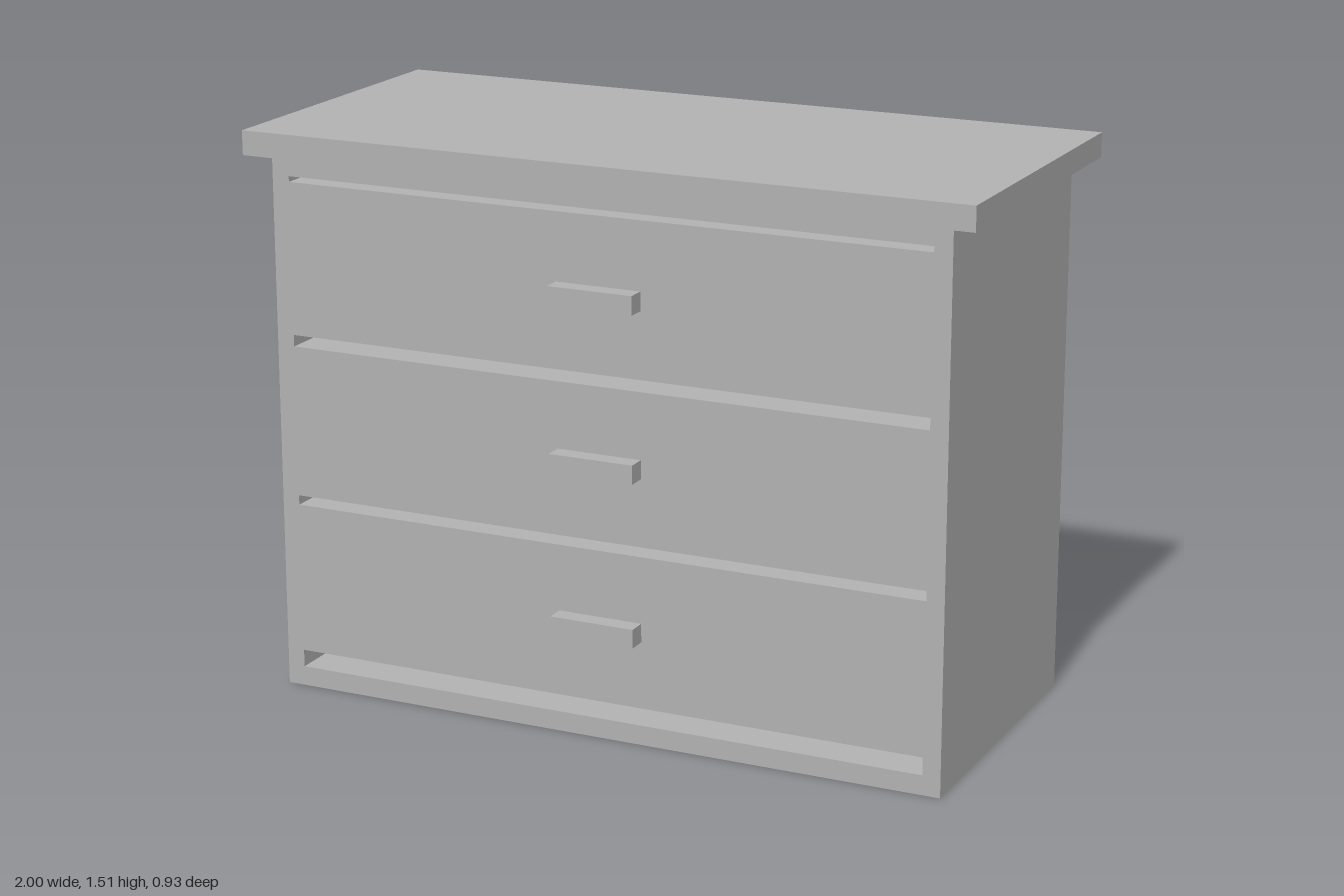
import * as THREE from 'three';

export function createModel() {
  const group = new THREE.Group();
  const grey = new THREE.MeshStandardMaterial({ color: 0xb2b2b2 });
  grey.name = 'grey';

  const add = (name, geometry, x, y, z) => {
    const mesh = new THREE.Mesh(geometry, grey);
    mesh.name = name;
    mesh.position.set(x, y, z);
    group.add(mesh);
  };
  const rectangle = (path, halfWidth, y0, y1) => {
    path.moveTo(-halfWidth, y0);
    path.lineTo(halfWidth, y0);
    path.lineTo(halfWidth, y1);
    path.lineTo(-halfWidth, y1);
    path.closePath();
    return path;
  };

  const back = -0.435, front = 0.417, panel = 0.05, bodyTop = 1.445;

  // Cabinet body with the deep gaps above, between and below the drawers
  const outline = rectangle(new THREE.Shape(), 0.933, 0, bodyTop);
  for (const [y0, y1] of [[0.053, 0.1], [0.508, 0.534], [0.941, 0.972], [1.379, 1.394]]) {
    outline.holes.push(rectangle(new THREE.Path(), 0.885, y0, y1));
  }
  const body = new THREE.ExtrudeGeometry(outline, { depth: front - back - panel, bevelEnabled: false });
  add('cabinetBody', body, 0, 0, back + panel);

  // Back panel closing the gaps
  add('backPanel', new THREE.BoxGeometry(1.866, bodyTop, panel), 0, bodyTop / 2, back + panel / 2);

  // Overhanging top
  add('topBoard', new THREE.BoxGeometry(2, 0.065, 0.917), 0, 1.4775, -0.0085);

  // One handle per drawer
  for (const y of [0.305, 0.739, 1.174]) {
    add('drawerHandle', new THREE.BoxGeometry(0.233, 0.05, 0.05), 0, y, front + 0.025);
  }
  return group;
}
